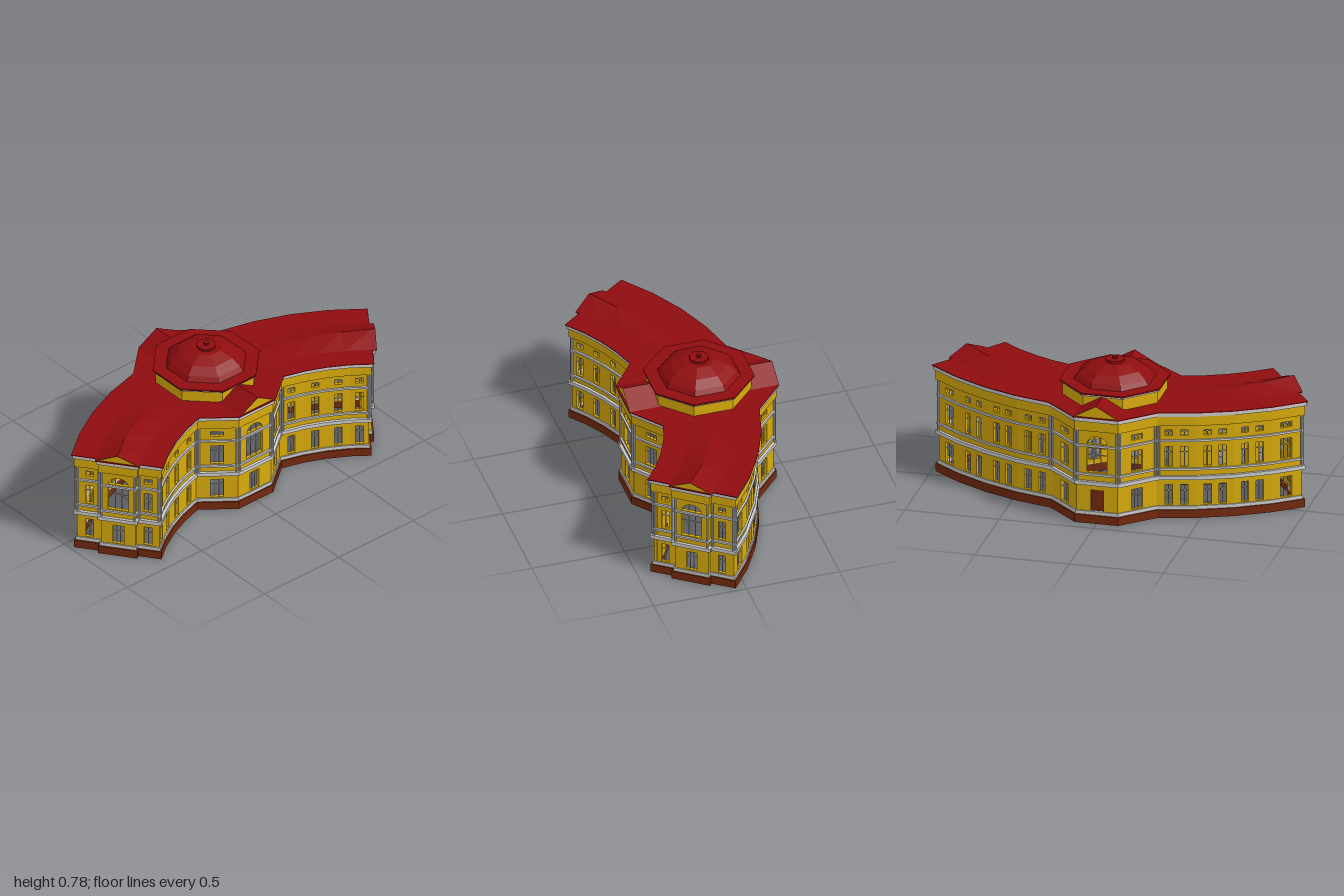
import * as THREE from 'three';

const mat = (color) => new THREE.MeshStandardMaterial({ color, flatShading: true, side: THREE.DoubleSide });
const YELLOW = mat(0xd8ab0c), RED = mat(0x8e0c0f), GREY = mat(0xcccccc), BROWN = mat(0x74290e);
const V2 = (x, y) => new THREE.Vector2(x, y);

// Plan points are (x, -z), running counter-clockwise from the front centre.
const polar = (r, deg) => {
  const a = THREE.MathUtils.degToRad(deg);
  return V2(r * Math.sin(a), r * Math.cos(a) - 1.21);
};
const outer = [0, 1, 2, 3, 4].map((k) => polar(1.53, 10.9 + k * 7.45));
const inner = [0, 1, 2, 3, 4].map((k) => polar(1.025 + k * 0.005, 16.2 + k * 6.65));
const mix = (a, b, t) => a.clone().lerp(b, t);
const endDir = outer[4].clone().sub(inner[4]).normalize();
const bump = V2(endDir.y, -endDir.x).multiplyScalar(0.022);
const p1 = mix(inner[4], outer[4], 0.25), p2 = mix(inner[4], outer[4], 0.73);
const half = [V2(0.12, -0.355), ...inner, p1, p1.clone().add(bump), p2.clone().add(bump), p2,
  ...outer.slice().reverse(), V2(0.12, 0.45)];
const plan = [...half, ...half.slice().reverse().map((p) => V2(-p.x, p.y))];

// Window layout of each wall facet, in the same order as the plan.
const halfKinds = ['wide', 'single', 'single', 'single', 'single', 'single', '', 'arch', '', 'single',
  'wide', 'double', 'double', 'double', 'wide'];
const kinds = [...halfKinds, 'door', ...halfKinds.slice().reverse(), 'arch'];

function inset(points, d) {
  const n = points.length;
  const normal = (i) => {
    const e = points[(i + 1) % n].clone().sub(points[i]).normalize();
    return V2(-e.y, e.x);
  };
  return points.map((p, i) => {
    const a = normal((i + n - 1) % n), b = normal(i);
    return p.clone().addScaledVector(a.clone().add(b), d / (1 + a.dot(b)));
  });
}

function add(parent, name, geometry, material, x = 0, y = 0, z = 0) {
  const mesh = new THREE.Mesh(geometry, material);
  mesh.name = name;
  mesh.position.set(x, y, z);
  parent.add(mesh);
  return mesh;
}

// Horizontal band following the plan; hollow unless solid.
function band(parent, name, material, d, y0, y1, solid = false) {
  const shape = new THREE.Shape(inset(plan, d));
  if (!solid) shape.holes.push(new THREE.Path(inset(plan, 0.044)));
  const geo = new THREE.ExtrudeGeometry(shape, { depth: y1 - y0, bevelEnabled: false });
  geo.rotateX(-Math.PI / 2);
  add(parent, name, geo, material, 0, y0);
}

// Surface through rows of 3D points.
function loft(rows) {
  const pos = [];
  for (let i = 0; i < rows.length - 1; i++) for (let j = 0; j < rows[i].length - 1; j++) {
    const a = rows[i][j], b = rows[i + 1][j], c = rows[i + 1][j + 1], d = rows[i][j + 1];
    for (const p of [a, b, c, a, c, d]) pos.push(...p);
  }
  const geo = new THREE.BufferGeometry();
  geo.setAttribute('position', new THREE.Float32BufferAttribute(pos, 3));
  geo.computeVertexNormals();
  return geo;
}

// One wall facet with openings, bars and door; local x runs along the wall, z points out.
function wall(parent, a, b, kind) {
  const L = a.distanceTo(b), T = 0.018, g = new THREE.Group();
  g.name = 'wallFacet';
  g.position.set(a.x, 0, -a.y);
  g.rotation.y = Math.atan2(b.y - a.y, b.x - a.x);
  parent.add(g);
  const shape = new THREE.Shape([V2(0, 0.04), V2(L, 0.04), V2(L, 0.57), V2(0, 0.57)]);
  const bar = (x, y, w, h) => add(g, 'windowBar', new THREE.BoxGeometry(w, h, 0.005), GREY, x, y, -0.01);
  const opening = (c, w, y0, y1, bars, transom) => {
    const x0 = c - w / 2, x1 = c + w / 2;
    shape.holes.push(new THREE.Path([V2(x0, y0), V2(x0, y1), V2(x1, y1), V2(x1, y0)]));
    for (let i = 1; i <= bars; i++) bar(x0 + (w * i) / (bars + 1), (y0 + y1) / 2, 0.004, y1 - y0);
    if (transom) bar(c, y0 + (y1 - y0) * 0.7, w, 0.004);
  };
  const stack = (c, w, bars) => {
    opening(c, w, 0.07, 0.18, bars, true);
    opening(c, w, 0.28, 0.392, bars, true);
    opening(c, w, 0.452, 0.482, bars, true);
  };
  const m = L / 2;
  if (kind === 'single') stack(m, 0.04, 1);
  if (kind === 'wide') stack(m, 0.065, 2);
  if (kind === 'double') for (const t of [0.3, 0.7]) stack(L * t, 0.038, 1);
  if (kind === 'arch' || kind === 'door') {
    opening(m, 0.108, 0.28, 0.412, 2, true);
    const arch = new THREE.Path();
    arch.moveTo(m + 0.052, 0.435);
    arch.absellipse(m, 0.435, 0.052, 0.043, 0, Math.PI, false);
    shape.holes.push(arch);
    for (const s of [-1, 1]) bar(m + s * 0.018, 0.455, 0.004, 0.04);
    if (kind === 'arch') opening(m, 0.058, 0.07, 0.18, 2, true);
    else {
      opening(m, 0.07, 0.045, 0.18, 0, false);
      add(g, 'door', new THREE.BoxGeometry(0.07, 0.135, 0.006), BROWN, m, 0.1125, -0.012);
    }
  }
  const geo = new THREE.ExtrudeGeometry(shape, { depth: T, bevelEnabled: false, curveSegments: 8 });
  geo.translate(0, 0, -T);
  add(g, 'wall', geo, YELLOW);
}

// Curved wing roof whose central gable rises towards the end, with its pediment.
function wingRoof(parent) {
  const ts = [0, 0.25, 0.49, 0.73, 1];
  const row = (k, shift) => ts.map((t, j) => {
    const p = mix(inner[k], outer[k], t);
    if (shift && j > 0 && j < 4) p.add(bump);
    return [p.x, j === 2 ? 0.59 + 0.0465 * (k / 4) : 0.589, -p.y];
  });
  const rows = [0, 1, 2, 3, 4].map((k) => row(k, false));
  add(parent, 'wingRoof', loft(rows), RED);
  const tip = row(4, true);
  add(parent, 'wingGable', loft([rows[4].slice(1, 4), tip.slice(1, 4)]), RED);
  const [a, b, c] = tip.slice(1, 4).map(([x, y, z]) => [x - bump.x * 0.4, y - 0.003, z + bump.y * 0.4]);
  add(parent, 'endPediment', loft([[a, b], [a, c]]), YELLOW);
}

// Eight-sided parts with a flat side to the front.
const K8 = 1 / Math.cos(Math.PI / 8);
const octagon = (r, h) => new THREE.CylinderGeometry(r * K8, r * K8, h, 8).rotateY(Math.PI / 8);

export function createModel() {
  const model = new THREE.Group();
  model.name = 'palace';

  // Walls
  const walls = new THREE.Group();
  walls.name = 'walls';
  model.add(walls);
  const wallPlan = inset(plan, 0.026);
  wallPlan.forEach((p, i) => wall(walls, p, wallPlan[(i + 1) % wallPlan.length], kinds[i]));

  // Plinth, string courses, frieze and cornice
  band(model, 'plinth', BROWN, 0.013, 0, 0.045);
  band(model, 'baseCourse', GREY, 0.02, 0.045, 0.064);
  band(model, 'floorCourse', GREY, 0.011, 0.21, 0.231);
  band(model, 'sillCourse', GREY, 0.016, 0.262, 0.273);
  band(model, 'upperCourse', GREY, 0.016, 0.42, 0.431);
  band(model, 'frieze', YELLOW, 0.013, 0.51, 0.565);
  band(model, 'cornice', GREY, 0.006, 0.563, 0.584);
  band(model, 'eaves', RED, 0, 0.584, 0.588, true);

  // Paired columns at the main corners
  const columnLine = inset(plan, 0.019), n = plan.length;
  const column = new THREE.CylinderGeometry(0.0065, 0.0065, 0.28, 8);
  for (const c of [0, 1, 5, 6, 7, 8, 9, 10, 14, 15]) for (const i of [c, n - 1 - c]) {
    for (const j of [(i + 1) % n, (i + n - 1) % n]) {
      const dir = columnLine[j].clone().sub(columnLine[i]);
      if (dir.length() < 0.04) continue;
      const p = columnLine[i].clone().addScaledVector(dir.normalize(), 0.01);
      add(model, 'column', column, GREY, p.x, 0.37, -p.y);
    }
  }

  // Wing roofs, mirrored
  for (const s of [1, -1]) {
    const wing = new THREE.Group();
    wing.name = s > 0 ? 'leftWingRoof' : 'rightWingRoof';
    wing.scale.x = s;
    wingRoof(wing);
    model.add(wing);
  }

  // Central cross gable with front and back pediments
  const gable = (z) => [[-0.12, 0.588, z], [0, 0.655, z], [0.12, 0.588, z]];
  add(model, 'centralGable', loft([gable(0.355), gable(-0.45)]), RED);
  for (const z of [0.345, -0.44]) {
    const [a, b, c] = gable(z).map(([x, y]) => [x, y - 0.003, z]);
    add(model, 'pediment', loft([[a, b], [a, c]]), YELLOW);
  }

  // Drum, dome and finial
  const dome = new THREE.Group();
  dome.name = 'domeTower';
  dome.position.z = -0.055;
  model.add(dome);
  add(dome, 'drum', octagon(0.252, 0.07), YELLOW, 0, 0.618);
  add(dome, 'drumCornice', octagon(0.259, 0.01), GREY, 0, 0.656);
  add(dome, 'drumEaves', octagon(0.266, 0.008), RED, 0, 0.665);
  const profile = [[0.2, 0.668], [0.182, 0.694], [0.14, 0.729], [0.075, 0.755], [0, 0.759]];
  add(dome, 'dome', new THREE.LatheGeometry(profile.map(([r, y]) => V2(r * K8, y)), 8, Math.PI / 8), RED);
  add(dome, 'finialBase', new THREE.CylinderGeometry(0.05, 0.05, 0.014, 12), RED, 0, 0.763);
  add(dome, 'finialKnob', new THREE.CylinderGeometry(0.013, 0.013, 0.014, 10), RED, 0, 0.776);
  return model;
}
